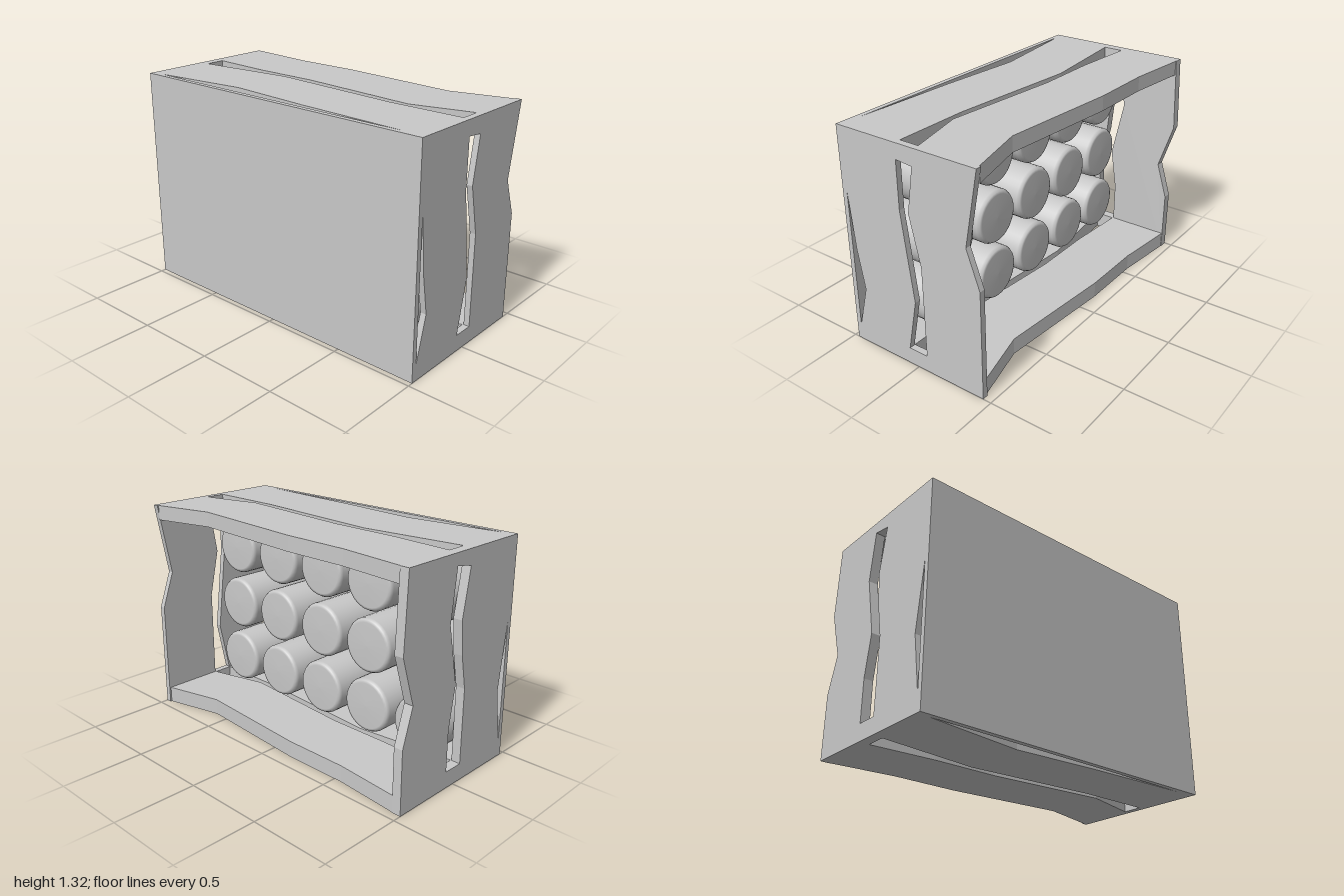
import * as THREE from 'three';

export function createModel() {
  const group = new THREE.Group();
  const grey = new THREE.MeshStandardMaterial({ color: 0xc8c8c8 });
  grey.name = 'light grey';

  const add = (geometry, name) => {
    const mesh = new THREE.Mesh(geometry, grey);
    mesh.name = name;
    group.add(mesh);
    return mesh;
  };
  const points = (list) => list.map(([x, y]) => new THREE.Vector2(x, y));

  // Solid base panel
  add(new THREE.BoxGeometry(0.03, 1.32, 2), 'basePanel').position.set(-0.455, 0.66, 0);

  // A wall of two wavy planks: slit beside the panel, gap between planks, wavy rim
  function wall(slit, gap, rim, depth) {
    const low = rim[0][1], high = rim[rim.length - 1][1];
    const shape = new THREE.Shape(points([
      [-0.44, low], ...rim, [-0.44, high], ...slit.slice().reverse(),
    ]));
    shape.holes.push(new THREE.Path(points(gap)));
    return new THREE.ExtrudeGeometry(shape, { depth, bevelEnabled: false });
  }

  // Front wall
  add(wall(
    [[-0.44, 0.1], [-0.37, 0.36], [-0.41, 0.6], [-0.44, 0.95]],
    [[-0.06, 0.1], [0.065, 0.1], [0.065, 0.66], [0, 0.95], [0.045, 1.22],
      [-0.06, 1.23], [-0.06, 0.95], [0.005, 0.42]],
    [[0.45, 0], [0.45, 0.66], [0.37, 0.88], [0.45, 1.32]],
    0.035), 'frontWall').position.z = 0.965;

  // Back wall
  add(wall(
    [[-0.44, 0.1], [-0.39, 0.43], [-0.44, 0.83]],
    [[-0.06, 0.1], [0.065, 0.1], [0.065, 0.35], [0.025, 0.6], [0.1, 0.95], [0.065, 1.25],
      [-0.05, 1.23], [0, 0.95], [-0.02, 0.75], [-0.06, 0.55]],
    [[0.45, 0], [0.45, 0.38], [0.38, 0.6], [0.47, 0.88], [0.45, 1.32]],
    0.055), 'backWall').position.z = -1;

  // Top and bottom walls, fitted between the front and back walls
  for (const [name, top, depth] of [['topWall', 1.32, 0.09], ['bottomWall', 0.1, 0.1]]) {
    const geometry = wall(
      [[-0.44, -0.93], [-0.37, -0.33], [-0.41, 0.2], [-0.44, 0.87]],
      [[-0.06, -0.94], [0.06, -0.94], [0.035, -0.55], [0.035, -0.15], [-0.03, 0.6],
        [0.06, 0.96], [-0.06, 0.96], [-0.06, 0.5], [0.005, -0.33]],
      [[0.447, -0.945], [0.41, -0.55], [0.41, -0.15], [0.35, 0.6], [0.44, 0.965]],
      depth);
    geometry.rotateX(Math.PI / 2);
    add(geometry, name).position.y = top;
  }

  // Three rows of five round-edged cylinders standing on the base panel
  const profile = points([[0.165, 0], [0.165, 0.46], [0.155, 0.478], [0.14, 0.482], [0, 0.485]]);
  const cylinder = new THREE.LatheGeometry(profile, 32);
  cylinder.rotateZ(-Math.PI / 2);
  for (let row = 0; row < 3; row++) {
    for (let column = 0; column < 5; column++) {
      add(cylinder, 'cylinder').position.set(-0.44, 0.285 + row * 0.371, 0.71 - column * 0.37);
    }
  }
  return group;
}
